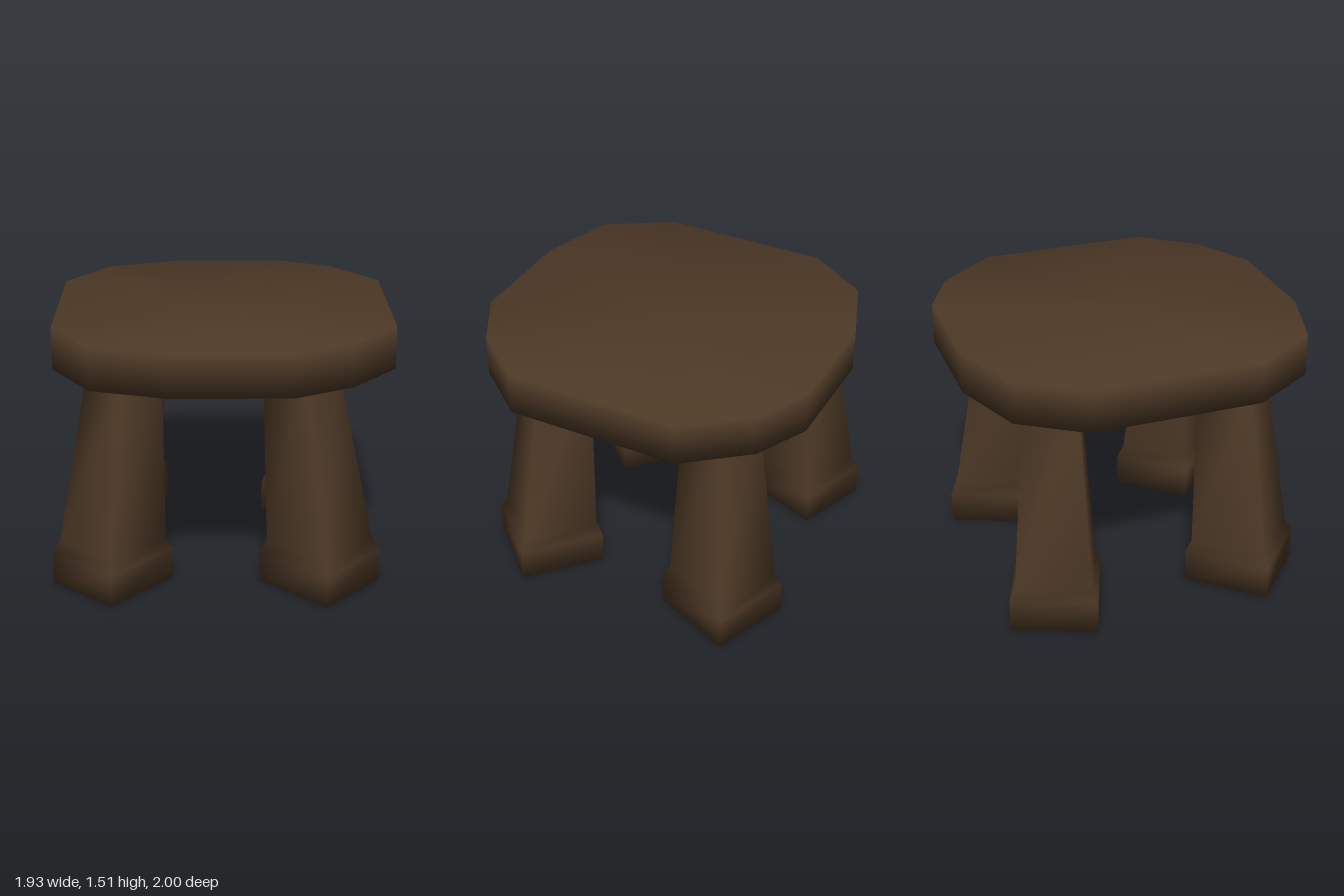
import * as THREE from 'three';

const wood = new THREE.MeshStandardMaterial({ color: 0x4d3926 });
wood.name = 'darkWood';

// Smooth closed solid through stacked rings of [x, y, z] points,
// each ring running counterclockwise seen from above.
function loft(name, rings) {
  const n = rings[0].length;
  const points = rings.flat();
  const index = [];
  for (let r = 0; r < rings.length - 1; r++) {
    for (let i = 0; i < n; i++) {
      const a = r * n + i, b = r * n + (i + 1) % n;
      index.push(a, b, b + n, a, b + n, a + n);
    }
  }
  // End caps fan out from a centre point
  const addCap = (ring, first, up) => {
    const c = points.length;
    points.push([0, 1, 2].map((k) => ring.reduce((sum, p) => sum + p[k], 0) / n));
    for (let i = 0; i < n; i++) {
      const a = first + i, b = first + (i + 1) % n;
      if (up) index.push(c, a, b);
      else index.push(c, b, a);
    }
  };
  addCap(rings[0], 0, false);
  addCap(rings[rings.length - 1], (rings.length - 1) * n, true);

  const geometry = new THREE.BufferGeometry();
  geometry.setAttribute('position', new THREE.Float32BufferAttribute(points.flat(), 3));
  geometry.setIndex(index);
  geometry.computeVertexNormals();
  const mesh = new THREE.Mesh(geometry, wood);
  mesh.name = name;
  return mesh;
}

// Uneven twelve-sided seat outline as [x, z]
const seatOutline = [
  [-0.32, -0.98], [0.34, -1.0], [0.65, -0.86], [0.93, -0.53],
  [0.965, 0.46], [0.72, 0.78], [0.4, 0.97], [-0.26, 0.995],
  [-0.69, 0.88], [-0.93, 0.52], [-0.965, -0.45], [-0.74, -0.81],
].reverse();

// Legs: foot centre, top centre, turn in degrees, foot width and depth
const legs = [
  { name: 'frontRightLeg', foot: [-0.62, 0.555], top: [-0.53, 0.505], turn: 40, size: [0.47, 0.5] },
  { name: 'frontLeftLeg', foot: [0.57, 0.525], top: [0.44, 0.505], turn: -49, size: [0.475, 0.5] },
  { name: 'backLeftLeg', foot: [0.54, -0.625], top: [0.44, -0.545], turn: 21, size: [0.47, 0.5] },
  { name: 'backRightLeg', foot: [-0.677, -0.58], top: [-0.55, -0.545], turn: 19, size: [0.45, 0.49] },
];

// Leg sections: height, scale, how far along from foot centre to top centre
const legSections = [
  [0, 1, 0],
  [0.19, 1, 0],
  [0.26, 0.88, 0.03],
  [1.29, 0.6, 1],
];

function makeLeg({ name, foot, top, turn, size }) {
  const c = Math.cos(THREE.MathUtils.degToRad(turn));
  const s = Math.sin(THREE.MathUtils.degToRad(turn));
  const rings = legSections.map(([y, scale, t]) => {
    const cx = THREE.MathUtils.lerp(foot[0], top[0], t);
    const cz = THREE.MathUtils.lerp(foot[1], top[1], t);
    return [[-1, -1], [-1, 1], [1, 1], [1, -1]].map(([i, j]) => {
      const u = i * scale * size[0] / 2, v = j * scale * size[1] / 2;
      return [cx + u * c - v * s, y, cz + u * s + v * c];
    });
  });
  return loft(name, rings);
}

export function createModel() {
  const stool = new THREE.Group();
  stool.name = 'stool';
  stool.add(loft('seat', [1.27, 1.51].map((y) => seatOutline.map(([x, z]) => [x, y, z]))));
  for (const leg of legs) stool.add(makeLeg(leg));
  return stool;
}
